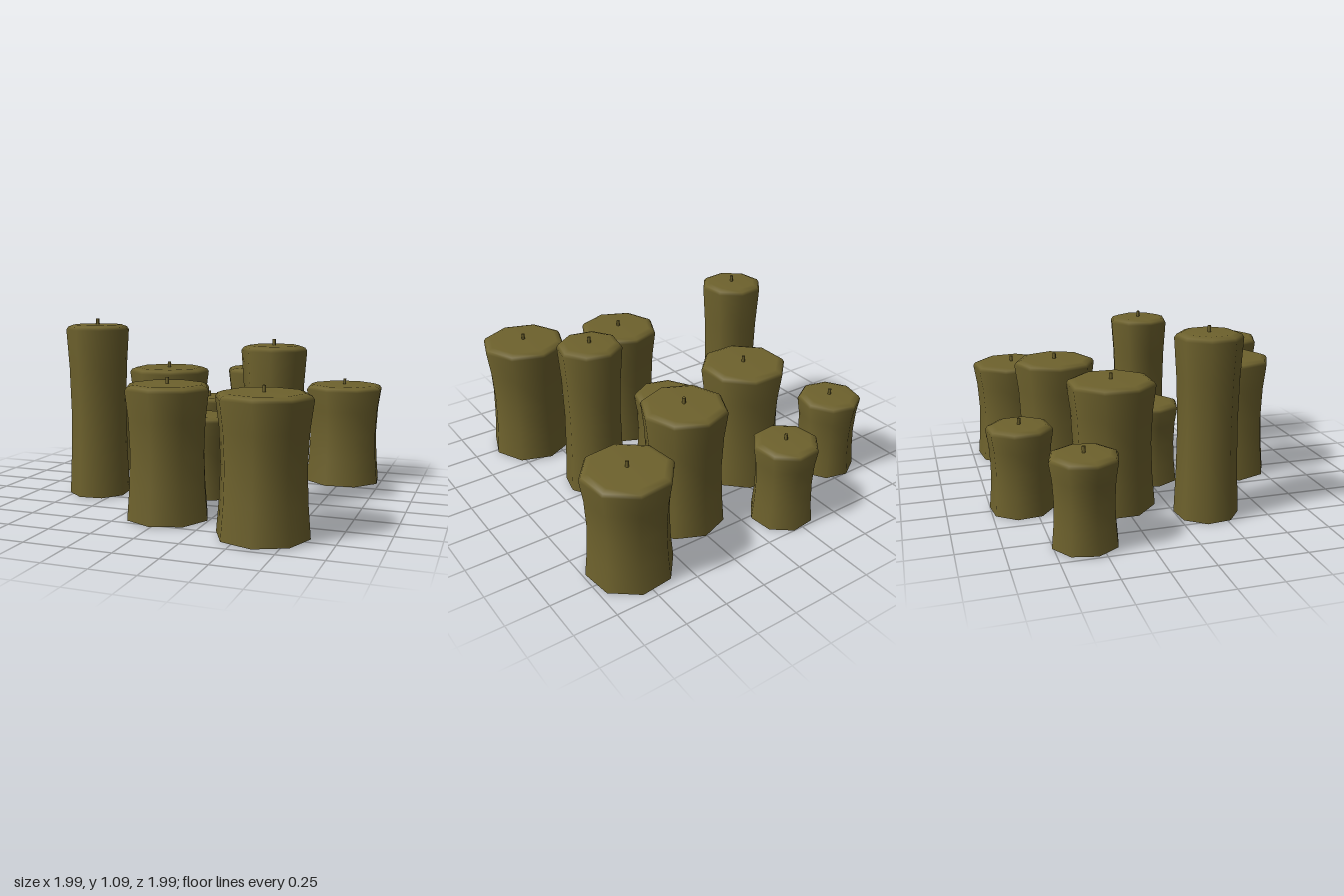
import * as THREE from 'three';

const SIDES = 8;
const wax = new THREE.MeshStandardMaterial({ color: 0x6e622d });

// x, z, base y, rim radius, height, rotation of the octagon in degrees
const CANDLES = [
  [-0.24, -0.82, 0, 0.193, 0.505, 16],
  [-0.81, -0.575, 0.005, 0.193, 0.505, 36],
  [-0.335, -0.305, 0.005, 0.258, 0.755, 22],
  [0.25, -0.515, 0.005, 0.248, 0.755, 2.5],
  [0.745, -0.715, 0, 0.256, 0.64, 16],
  [0.01, 0.01, 0.005, 0.2, 0.505, 38],
  [0.485, 0.095, 0.005, 0.19, 0.945, 35],
  [-0.61, 0.175, 0.005, 0.19, 1.05, 16],
  [0.01, 0.56, 0.005, 0.247, 0.755, 2.5],
  [0.61, 0.725, 0.005, 0.26, 0.755, -3],
];

function makeCandle([x, z, y0, r, top, degrees]) {
  const candle = new THREE.Group();
  candle.name = 'candle';
  candle.position.set(x, 0, z);
  const turn = THREE.MathUtils.degToRad(degrees);
  const add = (geometry, name) => {
    const mesh = new THREE.Mesh(geometry, wax);
    mesh.name = name;
    candle.add(mesh);
    return mesh;
  };

  // waisted body with a rounded rim and flat top
  const h = top - y0;
  const profile = [
    [0.97 * r, y0],
    [0.91 * r, y0 + 0.25 * h],
    [0.885 * r, y0 + 0.5 * h],
    [0.92 * r, y0 + 0.75 * h],
    [r, top - 0.03],
    [r - 0.012, top - 0.012],
    [r - 0.045, top],
    [0, top],
  ].map(([px, py]) => new THREE.Vector2(px, py));
  add(new THREE.LatheGeometry(profile, SIDES, Math.PI / 2 - turn), 'waxBody');

  // underside
  const base = new THREE.CircleGeometry(0.97 * r, SIDES, turn).rotateX(Math.PI / 2);
  add(base, 'base').position.y = y0;

  // wick
  add(new THREE.CylinderGeometry(0.01, 0.01, 0.05, 6), 'wick').position.y = top + 0.01;
  return candle;
}

export function createModel() {
  const model = new THREE.Group();
  model.name = 'candleCluster';
  CANDLES.forEach((c) => model.add(makeCandle(c)));
  return model;
}
